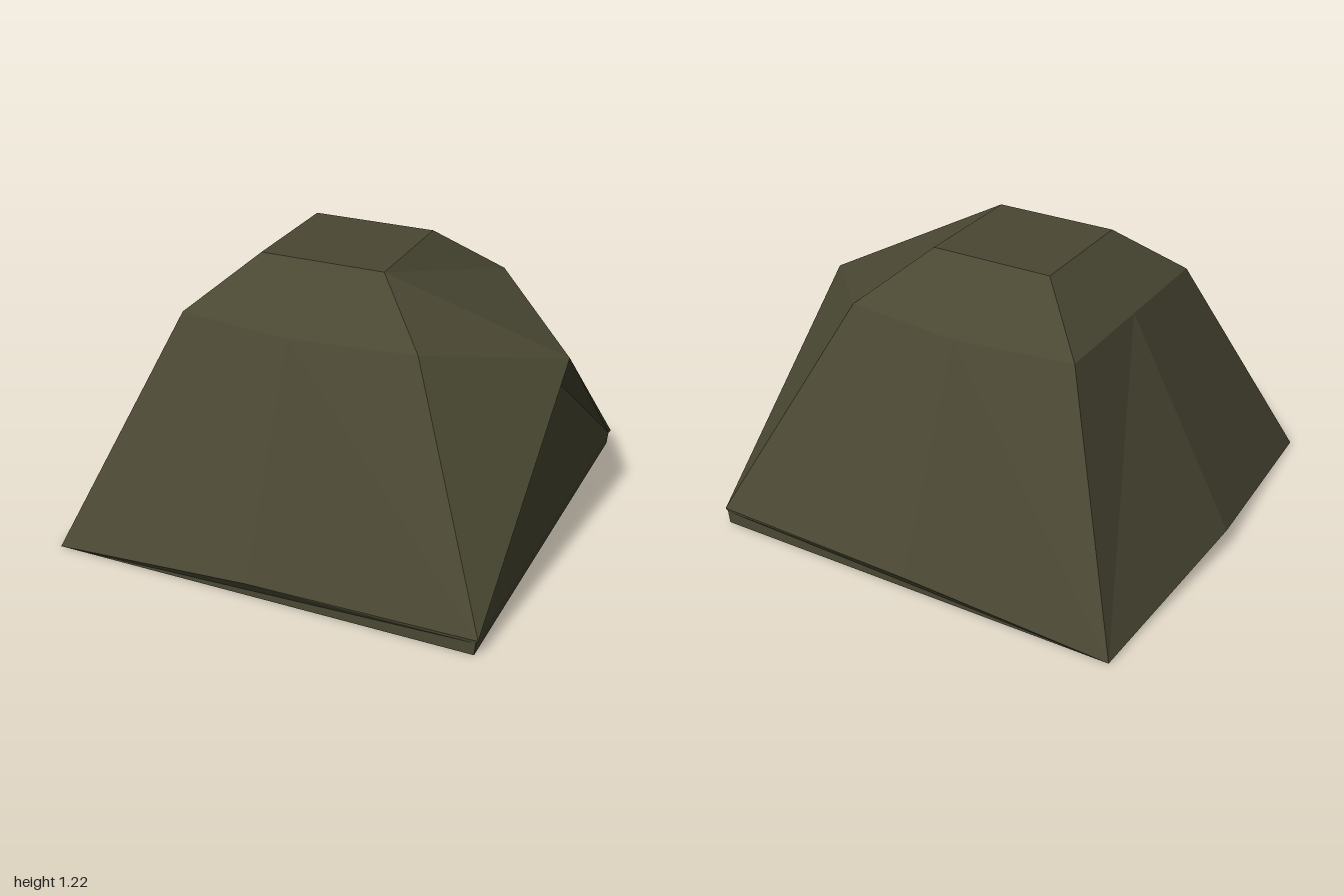
import * as THREE from 'three';

// Flat-shaded mesh from corner loops; each loop is fanned into triangles facing away from the middle.
function panel(name, loops, material) {
  const positions = [];
  const middle = new THREE.Vector3(0, 0.4, 0);
  const tri = new THREE.Triangle();
  const n = new THREE.Vector3(), c = new THREE.Vector3();
  for (const loop of loops) {
    const p = loop.map((q) => new THREE.Vector3(...q));
    for (let i = 1; i < p.length - 1; i++) {
      tri.set(p[0], p[i], p[i + 1]);
      tri.getNormal(n);
      tri.getMidpoint(c).sub(middle);
      const order = n.dot(c) < 0 ? [p[0], p[i + 1], p[i]] : [p[0], p[i], p[i + 1]];
      order.forEach((v) => positions.push(v.x, v.y, v.z));
    }
  }
  const geometry = new THREE.BufferGeometry();
  geometry.setAttribute('position', new THREE.Float32BufferAttribute(positions, 3));
  geometry.computeVertexNormals();
  const mesh = new THREE.Mesh(geometry, material);
  mesh.name = name;
  return mesh;
}

export function createModel() {
  const group = new THREE.Group();
  group.name = 'tent';
  const canvas = new THREE.MeshStandardMaterial({ color: 0x4a4833, side: THREE.DoubleSide, flatShading: true });
  canvas.name = 'olive canvas';
  const add = (name, loops) => group.add(panel(name, loops, canvas));

  // Key corners; s is +1 at the front and -1 at the back
  const roofL = (s) => [0.285, 1.22, 0.27 * s];
  const roofR = (s) => [-0.27, 1.22, 0.27 * s];
  const ringL = (s) => [0.535, 1.0, 0.515 * s];
  const ringR = (s) => [-0.52, 1.0, 0.51 * s];
  const ringMid = (s) => [0, 1.0, 0.578 * s];
  const hemL = (s) => [0.975, 0.07, 0.948 * s];
  const hemMid = (s) => [0, 0.088, 0.99 * s];
  const footR = (s) => [-0.925, 0, 0.943 * s];
  const footL = (s) => [0.96, 0, 0.945 * s];
  const sillL = (s) => [0.965, 0.057, 0.946 * s];
  const sideHem = [-1, 0.08, 0];
  const sideRing = [-0.52, 1.0, 0];
  const awningTip = [1, 0.862, 0];
  const doorTop = [0.85, 0.83, 0];

  add('roof', [[roofL(1), roofL(-1), roofR(-1), roofR(1)]]);

  // Front and back: sloped shoulder, wall, tucked hem and ground skirt
  for (const [s, side] of [[1, 'front'], [-1, 'back']]) {
    add(side + 'Shoulder', [
      [roofR(s), ringR(s), ringMid(s)],
      [roofR(s), ringMid(s), roofL(s)],
      [roofL(s), ringMid(s), ringL(s)],
    ]);
    add(side + 'Wall', [
      [ringMid(s), ringR(s), footR(s), hemMid(s)],
      [ringMid(s), hemMid(s), hemL(s), ringL(s)],
    ]);
    add(side + 'Hem', [
      [footR(s), hemMid(s), sillL(s)],
      [hemMid(s), hemL(s), sillL(s)],
    ]);
    add(side + 'Skirt', [[footR(s), footL(s), sillL(s)]]);
  }

  // Plain side
  add('rightShoulder', [[roofR(1), roofR(-1), ringR(-1), ringR(1)]]);
  add('rightWall', [
    [sideRing, ringR(1), footR(1), sideHem],
    [sideRing, ringR(-1), footR(-1), sideHem],
  ]);
  add('rightHem', [[sideHem, footR(1), footR(-1)]]);

  // Door side: awning drawn out to a point over a set-back triangular door
  add('awning', [
    [roofL(1), roofL(-1), ringL(-1)],
    [roofL(1), ringL(-1), awningTip],
    [roofL(1), awningTip, ringL(1)],
    [ringL(1), awningTip, hemL(1)],
    [ringL(-1), awningTip, hemL(-1)],
  ]);
  add('awningUnderside', [1, -1].map((s) => [awningTip, hemL(s), sillL(s), doorTop]));
  add('door', [[doorTop, sillL(1), sillL(-1)]]);
  add('doorSill', [[sillL(1), footL(1), footL(-1), sillL(-1)]]);

  return group;
}
